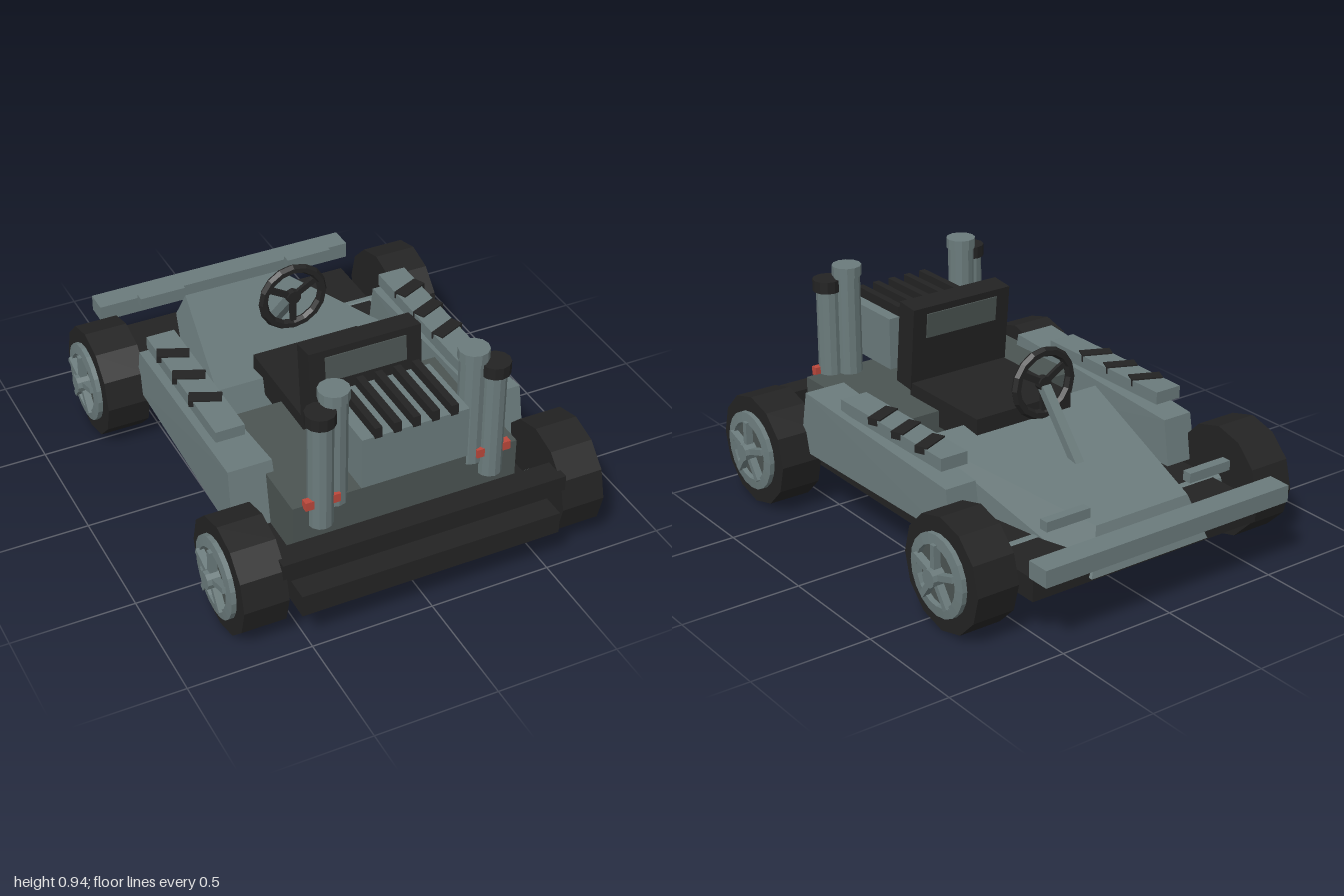
import * as THREE from 'three';
import { ConvexGeometry } from 'three/addons/geometries/ConvexGeometry.js';

const paint = (name, color) => {
  const m = new THREE.MeshStandardMaterial({ color, flatShading: true });
  m.name = name;
  return m;
};

export function createModel() {
  const grey = paint('steelGrey', 0x6b7b7c);
  const slate = paint('darkSlate', 0x4b5452);
  const black = paint('black', 0x232323);
  const red = paint('red', 0xbc483c);
  const kart = new THREE.Group();
  kart.name = 'kart';

  const add = (name, geo, mat, parent = kart) => {
    const m = new THREE.Mesh(geo, mat);
    m.name = name;
    parent.add(m);
    return m;
  };
  // Box given by its limits on each axis
  const box = (name, mat, x0, x1, y0, y1, z0, z1, parent = kart) => {
    const m = add(name, new THREE.BoxGeometry(x1 - x0, y1 - y0, z1 - z0), mat, parent);
    m.position.set((x0 + x1) / 2, (y0 + y1) / 2, (z0 + z1) / 2);
    return m;
  };
  const hull = (name, mat, pts) =>
    add(name, new ConvexGeometry(pts.map((p) => new THREE.Vector3(...p))), mat);
  const tube = (name, mat, r, x, y0, y1, z, sides = 12) => {
    const m = add(name, new THREE.CylinderGeometry(r, r, y1 - y0, sides), mat);
    m.position.set(x, (y0 + y1) / 2, z);
    return m;
  };
  const both = (x, y, z) => [[-x, y, z], [x, y, z]];

  // Chassis, bumper, engine deck and wing
  box('floorPan', black, -0.54, 0.54, 0.165, 0.258, -0.87, 1);
  box('bumper', black, -0.59, 0.59, 0.3, 0.38, 0.845, 0.945);
  box('engineDeck', slate, -0.47, 0.47, 0.255, 0.47, 0.16, 0.77);
  box('wing', grey, -0.58, 0.58, 0.29, 0.36, -1, -0.9);

  // Tapered nose
  hull('nose', grey, [
    ...both(0.44, 0.25, 0.04), ...both(0.43, 0.47, -0.01),
    ...both(0.28, 0.18, -0.885), ...both(0.22, 0.36, -0.83),
  ]);

  // Seat with a leaning back and inset panels
  box('seatCushion', black, -0.23, 0.23, 0.4, 0.525, -0.1, 0.36);
  const back = new THREE.Group();
  back.name = 'seatBack';
  back.position.set(0, 0.52, 0.4);
  back.rotation.x = -0.1;
  kart.add(back);
  box('backrest', black, -0.235, 0.235, -0.02, 0.335, -0.05, 0.05, back);
  for (const s of [-1, 1]) {
    box('backPanel', slate, -0.17, 0.17, 0.2, 0.305, s * 0.052 - 0.003, s * 0.052 + 0.003, back);
  }

  // Engine block with cooling fins
  box('engine', grey, -0.22, 0.22, 0.525, 0.745, 0.52, 0.83);
  for (let i = -2; i <= 2; i++) {
    box('engineFin', black, i * 0.078 - 0.015, i * 0.078 + 0.015, 0.74, 0.785, 0.525, 0.835);
  }

  // Steering wheel and column
  const wheel = new THREE.Group();
  wheel.name = 'steeringWheel';
  wheel.position.set(0, 0.663, -0.22);
  kart.add(wheel);
  add('steeringRim', new THREE.TorusGeometry(0.13, 0.02, 6, 16), black, wheel);
  add('steeringHub', new THREE.CylinderGeometry(0.03, 0.03, 0.03, 10).rotateX(Math.PI / 2), black, wheel);
  for (let i = 0; i < 3; i++) {
    add('steeringSpoke', new THREE.BoxGeometry(0.025, 0.13, 0.015).translate(0, 0.065, 0)
      .rotateZ(Math.PI / 3 + (i * 2 * Math.PI) / 3), black, wheel);
  }
  const column = add('steeringColumn', new THREE.BoxGeometry(0.04, 0.36, 0.035), grey);
  column.position.set(0, 0.513, -0.345);
  column.rotation.x = Math.atan2(0.23, 0.27);

  for (const s of [-1, 1]) {
    const side = (name, mat, a, b, ...rest) =>
      box(name, mat, Math.min(s * a, s * b), Math.max(s * a, s * b), ...rest);

    // Side pod with a raised strip and slanted louvres
    hull('sidePod', grey, [
      [s * 0.43, 0.26, 0.575], [s * 0.625, 0.26, 0.575],
      [s * 0.44, 0.52, 0.53], [s * 0.62, 0.52, 0.53],
      [s * 0.46, 0.26, -0.44], [s * 0.6, 0.26, -0.44],
      [s * 0.46, 0.45, -0.41], [s * 0.595, 0.45, -0.41],
    ]);
    side('podStrip', grey, 0.46, 0.58, 0.5, 0.552, -0.36, 0.33);
    for (const z of [-0.21, -0.05, 0.11]) {
      const louvre = add('louvre', new THREE.BoxGeometry(0.13, 0.03, 0.055), black);
      louvre.position.set(s * 0.527, 0.543, z);
      louvre.rotation.y = s * 0.42;
    }
    side('noseBracket', grey, 0.24, 0.44, 0.395, 0.435, -0.82, -0.78);

    // Twin exhaust stacks and tail light
    tube('tallStack', grey, 0.054, s * 0.285, 0.43, 0.9, 0.73);
    tube('tallStackCap', grey, 0.061, s * 0.285, 0.892, 0.935, 0.73);
    tube('shortStack', grey, 0.05, s * 0.355, 0.37, 0.85, 0.765);
    tube('shortStackCap', black, 0.06, s * 0.357, 0.83, 0.88, 0.768);
    side('tailLight', red, 0.285, 0.428, 0.463, 0.5, 0.765, 0.795);

    // Wheels with ring rim, five spokes and hub
    for (const z of [0.735, -0.603]) {
      const w = new THREE.Group();
      w.name = 'wheel';
      w.position.set(0, 0.232, z);
      w.rotation.y = s > 0 ? 0 : Math.PI;
      kart.add(w);
      const disc = (name, mat, r, x0, x1, sides) =>
        add(name, new THREE.CylinderGeometry(r, r, x1 - x0, sides)
          .rotateZ(-Math.PI / 2).translate((x0 + x1) / 2, 0, 0), mat, w);
      disc('tyre', black, 0.232, 0.575, 0.755, 12);
      disc('wheelDisc', slate, 0.13, 0.752, 0.758, 20);
      const ring = [[0.122, 0.75], [0.165, 0.75], [0.165, 0.775], [0.122, 0.78], [0.122, 0.75]];
      add('rim', new THREE.LatheGeometry(ring.map((p) => new THREE.Vector2(...p)), 20)
        .rotateZ(-Math.PI / 2), grey, w);
      for (let i = 0; i < 5; i++) {
        add('wheelSpoke', new THREE.BoxGeometry(0.03, 0.13, 0.024).translate(0.778, 0.065, 0)
          .rotateX((i * 2 * Math.PI) / 5), grey, w);
      }
      disc('hub', grey, 0.037, 0.75, 0.812, 10);
      disc('axle', grey, 0.032, 0, 0.6, 10);
    }
  }
  return kart;
}
